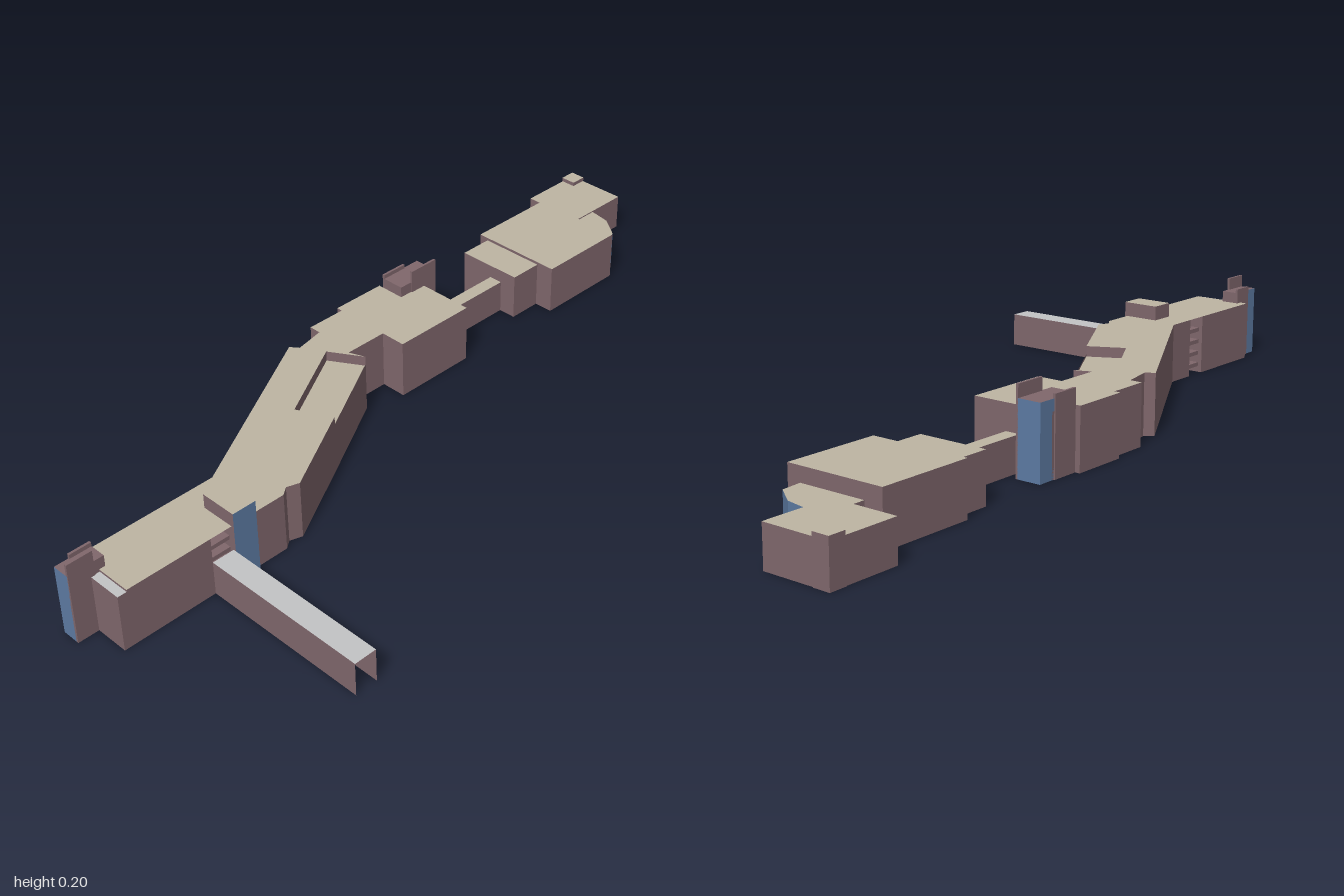
import * as THREE from 'three';

const mat = (name, color) => {
  const m = new THREE.MeshStandardMaterial({ color, side: THREE.DoubleSide });
  m.name = name;
  return m;
};

export function createModel() {
  const wall = mat('brick wall', 0x80676c);
  const roof = mat('beige roof', 0xbdb5a3);
  const glass = mat('blue glass', 0x5d7ba3);
  const canopy = mat('grey canopy', 0xc3c4c5);
  const model = new THREE.Group();
  model.name = 'schoolBuilding';

  // Flat roof over a footprint of [x, z] corners
  function addRoof(parent, pts, y, material = roof) {
    const shape = new THREE.Shape(pts.map(([x, z]) => new THREE.Vector2(x, -z)));
    const mesh = new THREE.Mesh(new THREE.ShapeGeometry(shape).rotateX(-Math.PI / 2), material);
    mesh.position.y = y;
    mesh.name = 'roof';
    parent.add(mesh);
  }

  // Vertical walls along footprint edges; corners run anticlockwise seen from above
  function addWalls(parent, edges, y0, y1, material, name) {
    const pos = [];
    for (const [[ax, az], [bx, bz]] of edges) {
      pos.push(ax, y0, az, bx, y0, bz, bx, y1, bz, ax, y0, az, bx, y1, bz, ax, y1, az);
    }
    if (!pos.length) return;
    const g = new THREE.BufferGeometry();
    g.setAttribute('position', new THREE.Float32BufferAttribute(pos, 3));
    g.computeVertexNormals();
    const mesh = new THREE.Mesh(g, material);
    mesh.name = name;
    parent.add(mesh);
  }

  // Hollow block: walls, glazed edges, open edges and a roof
  function block(name, pts, h, { glazed = [], open = [], top = roof } = {}) {
    const group = new THREE.Group();
    group.name = name;
    const area = pts.reduce((s, [x, z], i) => {
      const [nx, nz] = pts[(i + 1) % pts.length];
      return s + x * nz - nx * z;
    }, 0);
    const edges = pts.map((p, i) => {
      const q = pts[(i + 1) % pts.length];
      return area < 0 ? [p, q] : [q, p];
    });
    addWalls(group, edges.filter((_, i) => !glazed.includes(i) && !open.includes(i)), 0, h, wall, 'walls');
    addWalls(group, edges.filter((_, i) => glazed.includes(i)), 0, h, glass, 'glazing');
    if (top) addRoof(group, pts, h, top);
    model.add(group);
    return group;
  }
  const rect = (x0, x1, z0, z1) => [[x0, z1], [x1, z1], [x1, z0], [x0, z0]];

  // Long bent main wing, with a terrace notch and a gap for the stair passage
  const H = 0.145;
  const t0 = [-0.262, -0.072], t1 = [-0.305, -0.155], t2 = [-0.103, -0.27], t3 = [-0.055, -0.19];
  const main = [
    [-0.925, 0.05], [-0.715, 0.05], [-0.66, 0.05], [-0.52, 0.05], [-0.5, 0.035], [-0.47, 0.045],
    t0, t1, t2, t3,
    [-0.07, -0.23], [0.04, -0.23], [0.04, -0.165], [0.255, -0.165], [0.255, -0.37], [0.18, -0.37],
    [0.18, -0.385], [0.04, -0.385], [0.04, -0.37], [-0.06, -0.37], [-0.06, -0.34], [-0.135, -0.325],
    [-0.15, -0.345], [-0.585, -0.1], [-0.66, -0.1], [-0.715, -0.1], [-0.925, -0.1],
  ];
  const wing = block('mainWing', main, H, { open: [1, 6, 7, 8, 24] });

  // Sunken roof terrace
  addRoof(wing, [t0, t3, t2, t1], 0.12);
  addWalls(wing, [[t0, t3]], 0, 0.125, wall, 'terraceFrontWall');
  addWalls(wing, [[t1, t0], [t2, t1], [t3, t2]], 0.12, H, wall, 'terraceSurround');

  // Stair passage through the wing
  addWalls(wing, [[[-0.715, 0.05], [-0.715, -0.1]], [[-0.66, -0.1], [-0.66, 0.05]]], 0, H, wall, 'passageWalls');
  for (let i = 0; i < 4; i++) {
    const step = new THREE.Mesh(new THREE.BoxGeometry(0.055, 0.01, 0.13), wall);
    step.position.set(-0.6875, 0.02 + i * 0.03, -0.025);
    step.name = 'passageLanding';
    model.add(step);
  }

  // Entrance tower with glazed front
  block('entranceTower', rect(-0.66, -0.6, -0.035, 0.057), 0.18, { glazed: [0] });

  // Covered walkway: canopy on two side walls, open at both ends
  block('coveredWalkway', rect(-0.715, -0.66, 0.05, 0.465), 0.083, { open: [0, 2], top: canopy });

  // West porch
  block('westPorch', rect(-0.947, -0.92, -0.035, 0.05), 0.14, { top: canopy });

  // End stair towers: outer side glazed, with a taller front fin
  function endTower(name, inner, outer, zBack, zFront) {
    const mid = inner + (outer - inner) * 0.6;
    const finIn = inner + (outer - inner) * 0.3;
    const h = 0.172;
    const pts = [[inner, zFront], [outer, zFront], [outer, zBack], [mid, zBack], [inner, zBack]];
    const tower = block(name, pts, h, { glazed: [1, 2], top: wall });
    const fin = new THREE.Mesh(new THREE.BoxGeometry(Math.abs(outer - finIn), 0.202, 0.006), wall);
    fin.position.set((outer + finIn) / 2, 0.101, zFront);
    fin.name = 'frontFin';
    const lip = new THREE.Mesh(new THREE.BoxGeometry(Math.abs(mid - inner), 0.182, 0.006), wall);
    lip.position.set((mid + inner) / 2, 0.091, zBack);
    lip.name = 'backFin';
    tower.add(fin, lip);
  }
  endTower('westTower', -0.91, -0.998, -0.078, -0.036);
  endTower('eastTower', 0.18, 0.294, -0.37, -0.31);

  // Link corridor and east hall
  block('linkCorridor', rect(0.255, 0.47, -0.285, -0.25), 0.083, { open: [1, 3] });
  block('eastHallAnnex', rect(0.47, 0.555, -0.375, -0.205), 0.116, { open: [1] });
  block('eastHall', rect(0.555, 0.79, -0.4, -0.157), 0.123);

  // Faceted glass foyer
  block('glassFoyer', [
    [0.79, -0.19], [0.84, -0.195], [0.88, -0.25], [0.89, -0.305], [0.825, -0.305], [0.825, -0.355], [0.79, -0.355],
  ], 0.089, { glazed: [0, 1, 2], open: [3, 4, 6] });

  // End pavilion with a raised corner
  block('endPavilion', rect(0.825, 0.996, -0.468, -0.305), 0.092);
  block('pavilionCorner', rect(0.957, 0.998, -0.47, -0.43), 0.102);

  return model;
}
